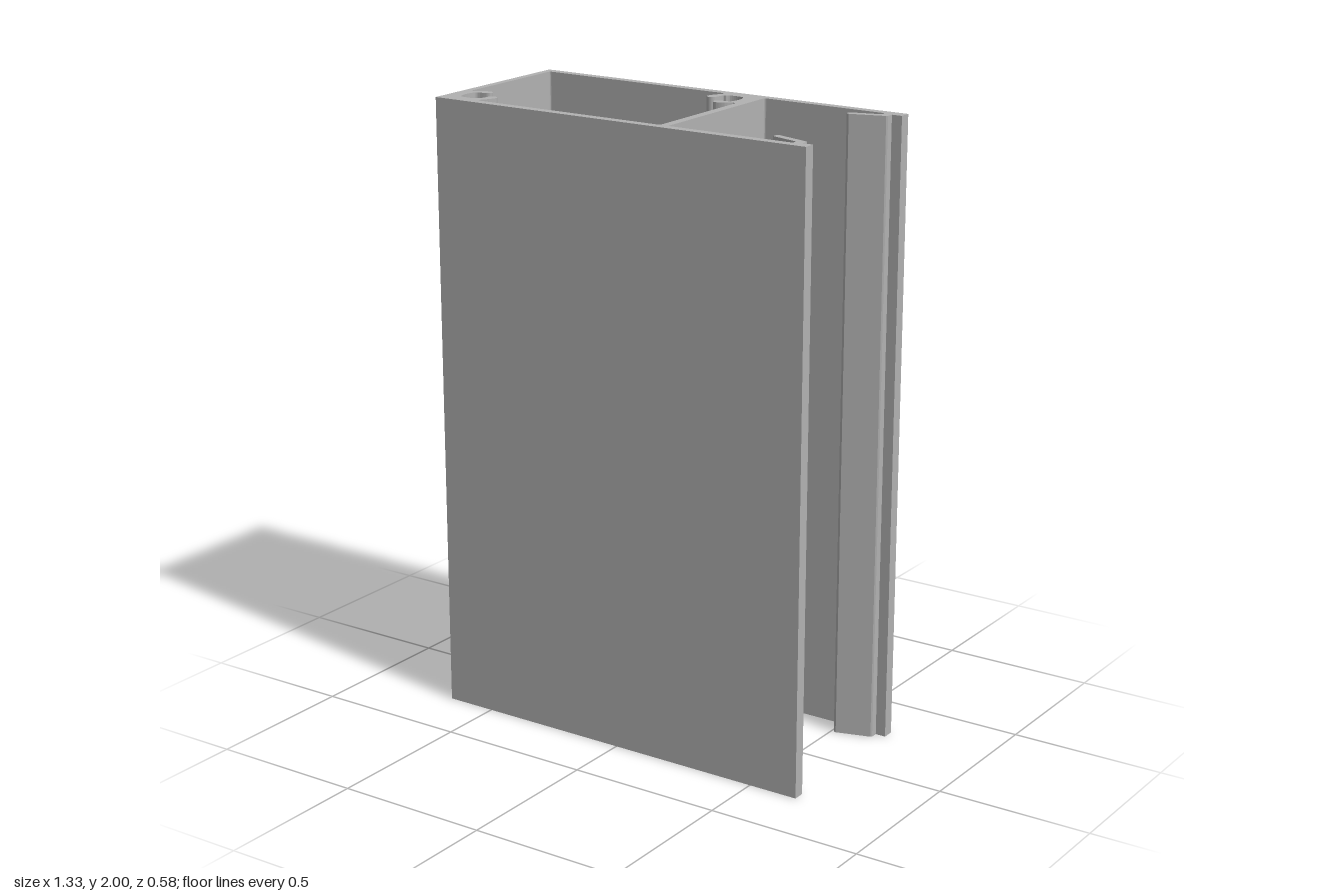
import * as THREE from 'three';

const HEIGHT = 2;
const HX = 0.664, HZ = 0.29;      // outer half sizes of the section
const IN = 0.261;                 // inner face of the long walls
const END = -0.64;                // inner face of the end wall
const WEB = [0.15, 0.178];        // faces of the cross web

const toVectors = (pts) => pts.map(([x, z]) => new THREE.Vector2(x, z));

// Rounded corner from a to b around the corner point c
function fillet(a, c, b) {
  return new THREE.QuadraticBezierCurve(...toVectors([a, c, b])).getPoints(4);
}

// Lip and inward snap arm at the open end, from the outer corner to the long wall
function clip(side) {
  return toVectors([
    [HX, -HZ], [HX, -0.252], [0.63, -0.252], [0.63, -0.229], [0.626, -0.225],
    [0.517, -0.192], [0.509, -0.194], [0.506, -0.204], [0.508, -0.214],
    [0.602, -0.242], [0.602, -0.256], [0.597, -IN],
  ]).map((p) => new THREE.Vector2(p.x, -side * p.y));
}

// C-shaped screw boss in the corner between the back wall and the web
function screwBoss() {
  const hook = toVectors([
    [0.028, -IN], [0.033, -0.25], [0.018, -0.225], [0.01, -0.2], [0.017, -0.186],
    [0.029, -0.182], [0.042, -0.19], [0.046, -0.214], [0.051, -0.228],
    [0.058, -0.229], [0.068, -0.238], [0.088, -0.241], [0.11, -0.238],
    [0.12, -0.232], [0.128, -0.203], [0.124, -0.171], [0.117, -0.157],
    [0.085, -0.153], [0.074, -0.143], [0.078, -0.128], [0.092, -0.123],
    [0.117, -0.13], [0.138, -0.146], [0.147, -0.143], [0.15, -0.135],
  ]);
  return new THREE.SplineCurve(hook).getPoints(72);
}

export function createModel() {
  const group = new THREE.Group();
  group.name = 'extrudedProfile';
  const aluminium = new THREE.MeshStandardMaterial({ color: 0xb2b2b2 });
  aluminium.name = 'aluminium grey';

  // Outer contour with the open channel on +x
  const r = 0.007;
  const outline = new THREE.Shape([
    ...toVectors([[-HX, HZ], [-HX, -HZ]]),
    ...clip(-1),
    ...fillet([WEB[1] + r, -IN], [WEB[1], -IN], [WEB[1], -IN + r]),
    ...fillet([WEB[1], IN - r], [WEB[1], IN], [WEB[1] + r, IN]),
    ...clip(1).reverse(),
  ]);

  // Closed chamber: one half turned about the chamber centre gives the other
  const half = [
    ...screwBoss(),
    ...fillet([WEB[0], IN - r], [WEB[0], IN], [WEB[0] - r, IN]),
  ];
  const turned = half.map((p) => new THREE.Vector2(END + WEB[0] - p.x, -p.y));
  outline.holes.push(new THREE.Path([...half, ...turned]));

  // Stand the section upright
  const geometry = new THREE.ExtrudeGeometry(outline, { depth: HEIGHT, bevelEnabled: false });
  geometry.rotateX(Math.PI / 2).translate(0, HEIGHT, 0);

  const body = new THREE.Mesh(geometry, aluminium);
  body.name = 'channelBody';
  group.add(body);
  return group;
}
